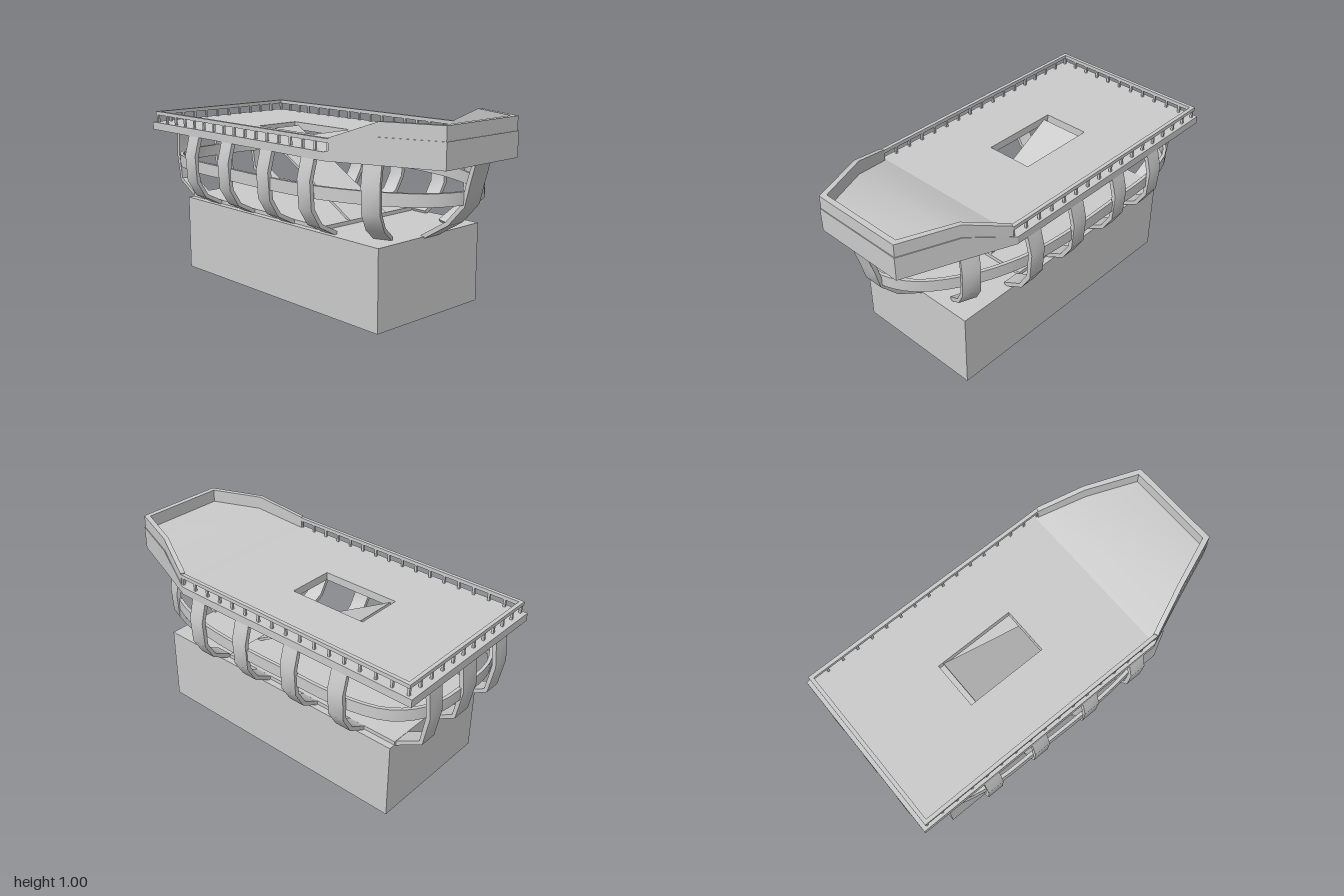
import * as THREE from 'three';
import { toCreasedNormals } from 'three/addons/utils/BufferGeometryUtils.js';

const grey = new THREE.MeshStandardMaterial({ color: 0xcccccc });
const V = (x, y, z) => new THREE.Vector3(x, y, z);

// Skin a solid over equal rings of points; turned outward by its signed volume.
function loft(rings, closed = false) {
  const tris = [], n = rings[0].length, m = rings.length;
  for (let i = 0; i < (closed ? m : m - 1); i++) {
    const a = rings[i], b = rings[(i + 1) % m];
    for (let j = 0; j < n; j++) {
      const k = (j + 1) % n;
      tris.push([a[j], a[k], b[k]], [a[j], b[k], b[j]]);
    }
  }
  if (!closed) {
    const a = rings[0], b = rings[m - 1];
    for (let j = 1; j < n - 1; j++) tris.push([a[0], a[j + 1], a[j]], [b[0], b[j], b[j + 1]]);
  }
  let volume = 0;
  for (const [a, b, c] of tris) volume += a.dot(b.clone().cross(c));
  const pts = tris.flatMap(t => (volume < 0 ? [t[0], t[2], t[1]] : t));
  return toCreasedNormals(new THREE.BufferGeometry().setFromPoints(pts), 0.62);
}

export function createModel() {
  const model = new THREE.Group();
  const add = (name, geometry, parent = model) => {
    const mesh = new THREE.Mesh(geometry, grey);
    mesh.name = name;
    parent.add(mesh);
    return mesh;
  };
  const group = name => {
    const g = new THREE.Group();
    g.name = name;
    model.add(g);
    return g;
  };
  const box = (name, x0, x1, y0, y1, z0, z1, parent) =>
    add(name, new THREE.BoxGeometry(x1 - x0, y1 - y0, z1 - z0), parent)
      .position.set((x0 + x1) / 2, (y0 + y1) / 2, (z0 + z1) / 2);

  // Base block and the inner floor on top of it
  box('baseBlock', -0.365, 0.365, 0, 0.415, -0.825, 0.7);
  box('innerFloor', -0.33, 0.33, 0.41, 0.435, -0.825, 0.28);

  // Main deck with its hatch
  const deck = new THREE.Shape([[-0.475, -1], [0.475, -1], [0.475, 0.45], [-0.475, 0.45]]
    .map(p => new THREE.Vector2(...p)));
  deck.holes.push(new THREE.Path([[-0.135, -0.45], [-0.135, 0], [0.125, 0], [0.125, -0.45]]
    .map(p => new THREE.Vector2(...p))));
  const deckGeometry = new THREE.ExtrudeGeometry(deck, { depth: 0.043, bevelEnabled: false });
  deckGeometry.rotateX(Math.PI / 2).translate(0, 0.845, 0);
  add('mainDeck', deckGeometry);

  // Rising foredeck: [half width, top, z]
  add('foredeck', loft([[0.475, 0.845, 0.45], [0.375, 0.93, 0.7], [0.26, 0.93, 1]]
    .map(([w, top, z]) => [V(-w, 0.802, z), V(w, 0.802, z), V(w, top, z), V(-w, top, z)])));

  // Bow wall: [outer x, outer z, inner x, inner z, bottom, top]
  const half = [
    [0.465, 0.47, 0.442, 0.46, 0.845, 0.912],
    [0.37, 0.7, 0.347, 0.69, 0.92, 1],
    [0.257, 0.996, 0.238, 0.966, 0.92, 1],
  ];
  const wall = [...half, ...half.slice().reverse().map(([a, b, c, d, e, f]) => [-a, b, -c, d, e, f])];
  add('bowWall', loft(wall.map(([ox, oz, ix, iz, lo, hi]) =>
    [V(ox, lo, oz), V(ox, hi, oz), V(ix, hi, iz), V(ix, lo, iz)])));

  // Railing around the sides and stern
  const railing = group('railing');
  for (const s of [-1, 1]) {
    const x = s * 0.455;
    box('sideRail', x - 0.01, x + 0.01, 0.887, 0.907, -0.98, 0.47, railing);
    for (let i = 0; i < 17; i++) {
      const z = -0.97 + i * 0.0895;
      box('railPost', x - 0.006, x + 0.006, 0.843, 0.889, z - 0.006, z + 0.006, railing);
    }
  }
  box('sternRail', -0.445, 0.445, 0.887, 0.907, -0.98, -0.96, railing);
  for (let i = 1; i < 11; i++) {
    const x = -0.455 + i * 0.91 / 11;
    box('railPost', x - 0.006, x + 0.006, 0.843, 0.889, -0.976, -0.964, railing);
  }

  // Ramp from the inner floor up to the hatch
  const ramp = [[0.28, 0.435], [-0.42, 0.828]];
  add('ramp', loft(ramp.map(([z, y]) =>
    [V(-0.135, y, z), V(0.125, y, z), V(0.125, y - 0.016, z), V(-0.135, y - 0.016, z)])));

  // Curved frames: profile is [outward offset, y], swept at (x, z) facing (nx, nz)
  const frames = group('frames');
  function frame(name, profile, x, z, nx, nz, width, thick = 0.022) {
    const place = (o, y, t) => V(x + nx * o - nz * t, y, z + nz * o + nx * t);
    const h = width / 2;
    add(name, loft(profile.map(([o, y], i) => {
      const p = profile[Math.max(i - 1, 0)], q = profile[Math.min(i + 1, profile.length - 1)];
      const len = Math.hypot(q[0] - p[0], q[1] - p[1]);
      const io = o + (q[1] - p[1]) / len * thick, iy = Math.min(0.805, y - (q[0] - p[0]) / len * thick);
      return [place(o, y, -h), place(o, y, h), place(io, iy, h), place(io, iy, -h)];
    })), frames);
  }
  const side = [[0.472, 0.805], [0.5, 0.7], [0.49, 0.555], [0.435, 0.465], [0.33, 0.41]];
  const corner = [[0.015, 0.805], [0.036, 0.7], [0.028, 0.56], [-0.025, 0.475], [-0.12, 0.41]];
  const bow = [[0.995, 0.805], [0.965, 0.7], [0.94, 0.6], [0.845, 0.495], [0.69, 0.4]];
  const stern = [[0.985, 0.805], [1, 0.65], [0.97, 0.49], [0.82, 0.405]];
  for (const s of [-1, 1]) {
    for (const z of [0.335, 0.025, -0.3, -0.597]) frame('sideFrame', side, 0, z, s, 0, 0.092);
    frame('bowCornerFrame', corner, s * 0.34, 0.64, s * 0.934, 0.357, 0.095);
    frame('sternFrame', stern, s * 0.272, 0, 0, -1, 0.095);
  }
  frame('bowFrame', bow, 0.005, 0, 0, 1, 0.11);
  frame('sternFrame', stern, 0, 0, 0, -1, 0.11);

  // Horizontal belt running round inside the frames
  const beltHalf = [[0.19, 0.87], [0.345, 0.675], [0.45, 0.4], [0.485, 0.1], [0.485, -0.3],
    [0.475, -0.6], [0.405, -0.84], [0.25, -0.96]];
  const plan = [[0, 0.94], ...beltHalf, [0, -0.987],
    ...beltHalf.slice().reverse().map(([x, z]) => [-x, z])];
  const curve = new THREE.CatmullRomCurve3(plan.map(([x, z]) => V(x, 0, z)), true);
  const steps = 64;
  add('belt', loft(Array.from({ length: steps }, (_, i) => {
    const p = curve.getPoint(i / steps), t = curve.getTangent(i / steps);
    const ix = p.x + t.z * 0.018, iz = p.z - t.x * 0.018;
    return [V(p.x, 0.608, p.z), V(p.x, 0.672, p.z), V(ix, 0.672, iz), V(ix, 0.608, iz)];
  }), true));

  return model;
}
